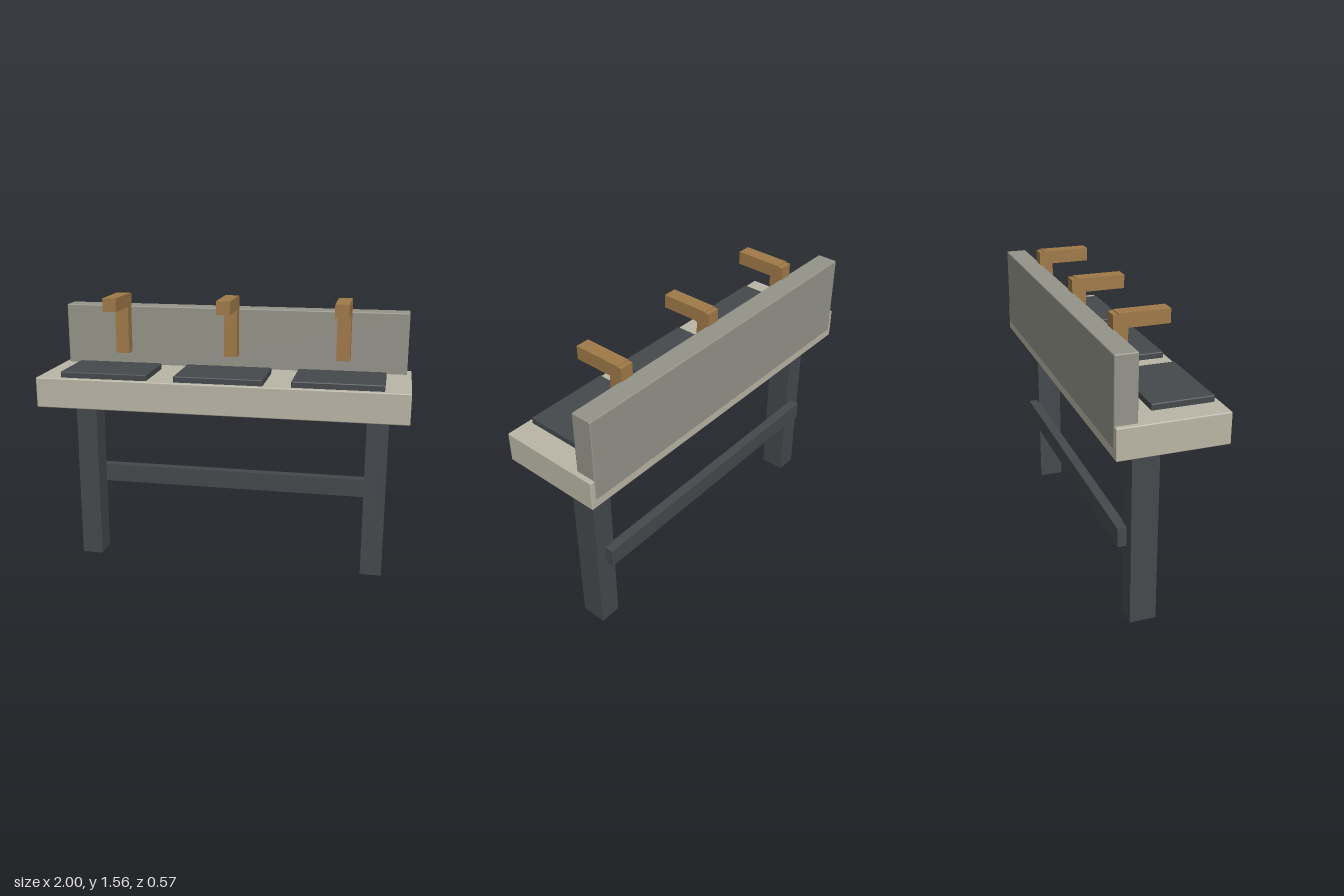
import * as THREE from 'three';
import { RoundedBoxGeometry } from 'three/addons/geometries/RoundedBoxGeometry.js';

const material = (name, color) => {
  const m = new THREE.MeshStandardMaterial({ color });
  m.name = name;
  return m;
};

export function createModel() {
  const stone = material('pale stone', 0xbab6a6);
  const concrete = material('grey concrete', 0x94948a);
  const steel = material('dark steel', 0x45494d);
  const bronze = material('bronze', 0xa07a48);

  const model = new THREE.Group();
  model.name = 'tripleWashstand';

  // Box given by its extents on each axis; bevel softens the edges
  const block = (name, mat, [x0, x1], [y0, y1], [z0, z1], bevel = 0, parent = model) => {
    const size = [x1 - x0, y1 - y0, z1 - z0];
    const geometry = bevel
      ? new RoundedBoxGeometry(...size, 2, bevel)
      : new THREE.BoxGeometry(...size);
    const mesh = new THREE.Mesh(geometry, mat);
    mesh.name = name;
    mesh.position.set((x0 + x1) / 2, (y0 + y1) / 2, (z0 + z1) / 2);
    parent.add(mesh);
    return mesh;
  };

  // Counter and backsplash
  block('counter', stone, [-1, 1], [0.98, 1.145], [-0.283, 0.285], 0.006);
  block('backsplash', concrete, [-0.975, 0.975], [1.03, 1.482], [-0.286, -0.17], 0.006);

  // Three basins, each with a tap
  for (const x of [-0.627, 0, 0.627]) {
    block('basin', steel, [x - 0.239, x + 0.239], [1.1, 1.178], [-0.064, 0.258], 0.006);

    const tap = new THREE.Group();
    tap.name = 'tap';
    model.add(tap);
    block('tapPost', bronze, [x - 0.0375, x + 0.0375], [1.22, 1.553], [-0.18, -0.105], 0, tap);
    block('tapSpout', bronze, [x - 0.0375, x + 0.0375], [1.485, 1.558], [-0.155, 0.108], 0, tap);
  }

  // Legs
  for (const side of [-1, 1]) {
    const x = side * 0.833;
    block(side > 0 ? 'leftLeg' : 'rightLeg', steel, [x - 0.06, x + 0.06], [0, 0.985], [-0.165, -0.025]);
  }

  // Rail across the back of the legs
  block('rail', steel, [-0.833, 0.833], [0.42, 0.525], [-0.213, -0.16]);

  return model;
}
